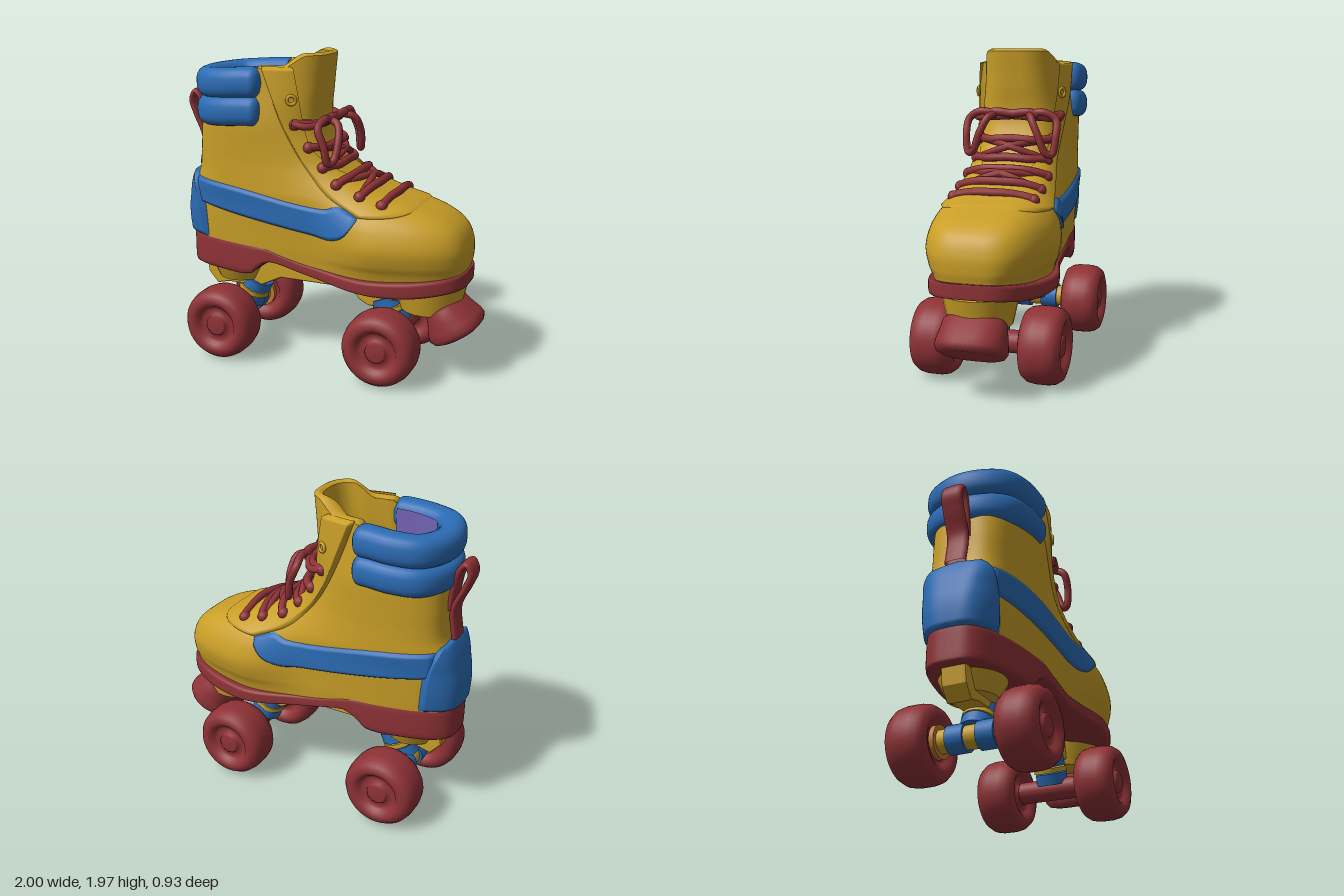
import * as THREE from 'three';
import { mergeVertices } from 'three/addons/utils/BufferGeometryUtils.js';

const mat = (name, color) => new THREE.MeshStandardMaterial({ name, color, side: THREE.DoubleSide });
const V = (x, y, z) => new THREE.Vector3(x, y, z);
const clamp = THREE.MathUtils.clamp, smooth = THREE.MathUtils.smoothstep;
const spow = (v, p) => Math.sign(v) * Math.pow(Math.abs(v), p);

// Smooth lookup of a value in a small table
function table(xs, ys) {
  const n = xs.length - 1;
  const slope = i => (ys[Math.min(i + 1, n)] - ys[Math.max(i - 1, 0)]) / (xs[Math.min(i + 1, n)] - xs[Math.max(i - 1, 0)]);
  return x => {
    x = clamp(x, xs[0], xs[n]);
    let i = 0;
    while (i < n - 1 && x > xs[i + 1]) i++;
    const d = xs[i + 1] - xs[i], t = (x - xs[i]) / d, t2 = t * t, t3 = t2 * t;
    return (2 * t3 - 3 * t2 + 1) * ys[i] + (t3 - 2 * t2 + t) * d * slope(i) + (3 * t2 - 2 * t3) * ys[i + 1] + (t3 - t2) * d * slope(i + 1);
  };
}

// Surface from a rule (u, v in 0..1) -> point
function grid(fn, nu, nv) {
  const pos = [], idx = [];
  for (let j = 0; j <= nv; j++) for (let i = 0; i <= nu; i++) pos.push(...fn(i / nu, j / nv).toArray());
  for (let j = 0; j < nv; j++) for (let i = 0; i < nu; i++) {
    const a = j * (nu + 1) + i, b = a + 1, c = a + nu + 1, d = c + 1;
    idx.push(a, c, b, b, c, d);
  }
  let g = new THREE.BufferGeometry();
  g.setAttribute('position', new THREE.Float32BufferAttribute(pos, 3));
  g.setIndex(idx);
  g = mergeVertices(g);
  g.computeVertexNormals();
  return g;
}

// Boot plan outline by height: toe, heel, widths, squareness
const Y = [.6, .7, .75, .85, .95, 1.02, 1.07, 1.11, 1.16, 1.22, 1.3, 1.4, 1.55, 1.75, 2];
const toeX = table(Y, [.88, .9, .91, .905, .86, .765, .63, .48, .33, .19, .08, .01, -.04, -.02, .01]);
const heelX = table(Y, [-.93, -.95, -.962, -.96, -.95, -.935, -.925, -.915, -.9, -.88, -.87, -.865, -.855, -.83, -.82]);
const heelW = table(Y, [.29, .3, .305, .31, .315, .315, .315, .315, .31, .305, .3, .3, .3, .275, .26]);
const ballW = table(Y, [.35, .38, .405, .425, .405, .375, .345, .325, .31, .305, .3, .3, .3, .275, .26]);
const square = table(Y, [.6, .6, .6, .58, .57, .55, .53, .52, .5, .5, .5, .52, .58, .64, .66]);

function boot(y, a, off = 0) {
  const F = toeX(y), B = heelX(y), c = Math.cos(a), s = Math.sin(a);
  const x = (F + B) / 2 + ((F - B) / 2 + off) * c;
  const t = smooth(x, -.05, .42);
  const w = heelW(y) * (1 - t) + ballW(y) * t + off;
  return V(x, y, w * spow(s, square(y)));
}
const angleAt = (x, y) => Math.acos(clamp((x - (toeX(y) + heelX(y)) / 2) / ((toeX(y) - heelX(y)) / 2), -1, 1));
const soleTop = table([-1, -.4, -.2, 0, .3, .6, .95], [.77, .76, .71, .67, .65, .66, .7]);
const soleBottom = table([-1, -.7, -.46, -.38, -.3, 0, .3, .6, .95], [.56, .555, .56, .63, .66, .6, .565, .56, .61]);

export function createModel() {
  const group = new THREE.Group();
  const yellow = mat('yellow leather', 0xc99e27), blue = mat('blue padding', 0x2b6cb5), red = mat('red rubber', 0x8e3236);
  const purple = mat('purple lining', 0x7264b4), orange = mat('orange insole', 0xbd7730), grey = mat('grey plate', 0x6c706c);
  const add = (name, geo, m, x = 0, y = 0, z = 0) => {
    const mesh = new THREE.Mesh(geo, m);
    mesh.name = name;
    mesh.position.set(x, y, z);
    group.add(mesh);
    return mesh;
  };
  const tube = (name, pts, r, m, closed = false) =>
    add(name, new THREE.TubeGeometry(new THREE.CatmullRomCurve3(pts.map(p => V(...p)), closed), pts.length * 8, r, 10, closed), m);
  const cyl = (name, r1, r2, h, m, x, y, z) => add(name, new THREE.CylinderGeometry(r1, r2, h, 28), m, x, y, z);

  // Boot shell with tall tongue, rim and inside; the wall is thick at the eyestays
  const TAU = Math.PI * 2;
  const topY = a => 1.75 + .13 * smooth(Math.cos(a), -.1, .1) + .078 * smooth(Math.cos(a), .45, .8);
  const baseY = a => soleTop(boot(.7, a).x) - .03;
  const wall = a => .05 + .035 * smooth(Math.cos(a), -.1, .2) * (1 - smooth(Math.cos(a), .6, .9));
  add('bootUpper', grid((u, v) => {
    const a = u * TAU, y0 = baseY(a);
    return boot(y0 + (topY(a) - y0) * v, a);
  }, 88, 100), yellow);
  add('bootRim', grid((u, v) => boot(topY(u * TAU) + .014 * Math.sin(v * Math.PI), u * TAU, -wall(u * TAU) * v), 88, 4), yellow);
  const inside = (a0, a1) => grid((u, v) => {
    const a = a0 + (a1 - a0) * u;
    return boot(1 + (topY(a) - 1) * v, a, -wall(a));
  }, 44, 60);
  add('tongueInside', inside(-1.6, 1.6), yellow);
  add('shaftLining', inside(1.6, TAU - 1.6), purple);
  add('insideFloor', grid((u, v) => {
    const p = boot(1, u * TAU, -.05);
    return V(-.1 + (p.x + .1) * v, 1, p.z * v);
  }, 48, 2), yellow);

  // Insole patches: [material, x, z, half length, half width]
  const patches = [[orange, -.56, 0, .24, .19], [orange, -.24, -.09, .12, .05], [yellow, -.42, .05, .18, .075], [red, -.5, -.07, .05, .05], [red, -.58, .13, .09, .022], [red, -.2, -.1, .05, .03], [purple, -.36, .145, .1, .02]];
  patches.forEach(([m, x, z, rx, rz], i) => {
    const patch = add('insolePatch', new THREE.CircleGeometry(1, 32), m, x, 1.005 + i * .002, z);
    patch.rotation.x = -Math.PI / 2;
    patch.scale.set(rx, rz, 1);
  });

  // Raised panels that follow the boot; their borders sink to the leather
  const panel = (name, rule, off, m, nu, nv, openStart = false) => {
    for (const side of [1, -1]) add(name, grid((u, v) => {
      const edge = (u === 0 && !openStart) || u === 1 || v === 0 || v === 1;
      const [y, a] = rule(u, v);
      return boot(y, side * a, edge ? -.004 : off(y));
    }, nu, nv), m);
  };
  const stripeTop = table([-.86, -.5, -.1, .08, .16, .3], [1.16, 1.13, 1.07, 1.06, 1.085, 1.03]);
  const stripeLow = table([-.86, -.4, 0, .12, .22, .3], [.99, .93, .88, .87, .91, 1.025]);
  panel('sideStripe', (u, v) => {
    const x = -.86 + 1.16 * u, y = stripeLow(x) + (stripeTop(x) - stripeLow(x)) * v;
    return [y, angleAt(x, y)];
  }, () => .018, blue, 48, 12);
  const counterEdge = table([.74, .85, 1, 1.1, 1.16, 1.22], [-.78, -.785, -.8, -.83, -.86, -.9]);
  panel('heelCounter', (u, v) => {
    const y = .755 + .465 * v, a = angleAt(counterEdge(y), y);
    return [y, Math.PI + (a - Math.PI) * u];
  }, table([.75, .9, 1.1, 1.22], [.018, .032, .034, .024]), blue, 24, 24, true);
  const stayBack = table([1.03, 1.12, 1.25, 1.4, 1.6, 1.9], [.3, .1, -.04, -.15, -.25, -.36]);
  const stayFront = table([1.03, 1.2, 1.35, 1.5, 1.9], [.9, .25, -.01, -.1, -.17]);
  panel('eyestay', (u, v) => {
    const y0 = 1.075 - .045 * smooth(u, 0, 1), y = y0 + (1.892 - y0) * v;
    const a0 = angleAt(stayFront(y), y), a1 = angleAt(stayBack(y), y);
    return [y, a0 + (a1 - a0) * u];
  }, table([1, 1.5, 1.7, 1.9], [.022, .024, .04, .04]), yellow, 24, 70, true);

  // Two padded collar rolls with a lining over their inner faces
  const collarHalf = [[-.355, .01, .256], [-.46, .01, .26], [-.6, 0, .258], [-.74, -.01, .205]];
  const collar = new THREE.CatmullRomCurve3([...collarHalf, [-.815, -.015, 0], ...collarHalf.map(([x, y, z]) => [x, y, -z]).reverse()].map(p => V(...p)));
  const collarPoint = (u, out, y) => {
    const p = collar.getPointAt(u), t = collar.getTangentAt(u);
    return V(p.x + t.z * out, p.y + y, p.z - t.x * out);
  };
  const collarLength = collar.getLength();
  for (const y of [1.605, 1.78]) add('collarRoll', grid((u, v) => {
    const d = Math.min(1, Math.min(u, 1 - u) * collarLength / .06);
    const f = Math.sqrt(1 - (1 - d) ** 2);
    return collarPoint(u, .085 * f * spow(Math.cos(v * TAU), .8), y + .094 * f * spow(Math.sin(v * TAU), .8));
  }, 100, 24), blue);
  add('collarLining', grid((u, v) => collarPoint(.04 + .92 * u, -.088, 1.5 + .33 * v), 60, 2), purple);

  // Heel pull strap
  const strap = new THREE.CatmullRomCurve3([[-.91, 1.2], [-.89, 1.38], [-.95, 1.53], [-.978, 1.62], [-.95, 1.675], [-.91, 1.63], [-.88, 1.5], [-.868, 1.38]].map(p => V(...p, 0)));
  add('pullStrap', grid((u, v) => {
    const p = strap.getPoint(u), t = strap.getTangent(u), c = Math.cos(v * TAU), s = Math.sin(v * TAU);
    return V(p.x - t.y * .02 * s, p.y + t.x * .02 * s, .07 * spow(c, .5));
  }, 48, 16), red);

  // Sole with a stepped heel; [width factor, height factor]
  const soleProfile = [[0, 0], [.5, 0], [.95, 0], [.985, .07], [1, .2], [1, .8], [.985, .93], [.95, 1], [0, 1]];
  add('sole', grid((u, v) => {
    const [k, h] = soleProfile[Math.round(v * 8)], p = boot(.75, u * TAU, .004);
    const x = p.x * (.97 + .03 * Math.min(1, k / .95) * k), lo = soleBottom(x);
    return V(x, lo + (soleTop(x) - lo) * h, p.z * k);
  }, 120, 8), red);
  add('archPlate', grid((u, v) => V(-.27 + .2 * u, soleBottom(-.27 + .2 * u) - .006, -.1 + .2 * v), 10, 2), grey);

  // Chassis plate
  const side = [[-.89, .6], [-.87, .46], [-.81, .39], [-.73, .41], [-.5, .41], [-.44, .44], [-.34, .49], [.16, .49], [.22, .42], [.28, .39], [.36, .4], [.44, .45], [.6, .45], [.8, .45], [.82, .6], [.3, .6], [0, .57], [-.34, .57], [-.44, .6]];
  const plateShape = new THREE.Shape(side.map(p => new THREE.Vector2(...p)));
  const plate = new THREE.ExtrudeGeometry(plateShape, { depth: .12, bevelSize: .012, bevelThickness: .02, bevelSegments: 2 });
  add('chassisPlate', plate, yellow, 0, 0, -.06);
  cyl('toeHousing', .23, .19, .18, yellow, .665, .5, 0);
  cyl('heelHousing', .21, .15, .13, yellow, -.66, .51, 0);

  // Trucks, axles and wheels
  const halfWheel = [[.235, .04], [.226, .085], [.203, .117], [.165, .13], [.135, .115], [.122, .095], [.105, .085], [.07, .085], [.067, .105], [.055, .114], [0, .114]];
  const wheelProfile = [...halfWheel.map(([r, h]) => [r, -h]).reverse(), ...halfWheel].map(p => new THREE.Vector2(...p));
  const wheelGeo = new THREE.LatheGeometry(wheelProfile, 40);
  for (const [x, lean] of [[-.63, 1], [.46, -1]]) {
    const truck = [['cushion', .1, .07, blue, .405], ['washer', .105, .03, yellow, .355], ['cushion', .1, .07, blue, .305]];
    for (const [name, r, h, m, y] of truck) cyl(name, r, r, h, m, x + lean * (y - .24) * .5, y, 0).rotation.z = -lean * .4;
    cyl('axleTube', .07, .07, .44, lean > 0 ? yellow : red, x, .24, 0).rotation.x = Math.PI / 2;
    for (const s of [1, -1]) {
      add('wheel', wheelGeo, red, x, .236, s * .335).rotation.x = Math.PI / 2;
      if (lean < 0) continue;
      cyl('axleSleeve', .085, .085, .11, blue, x, .24, s * .095).rotation.x = Math.PI / 2;
      cyl('axleWasher', .1, .1, .03, orange, x, .24, s * .222).rotation.x = Math.PI / 2;
    }
  }

  // Toe stop: [height, half length, half width]
  const stop = [[0, 0, 0], [0, .13, .17], [.012, .16, .2], [.04, .178, .215], [.08, .17, .21], [.14, .14, .2], [.2, .118, .19], [.22, .1, .17], [.22, 0, 0]];
  add('toeStop', grid((u, v) => {
    const [h, rx, rz] = stop[Math.round(v * 8)];
    return V(rx * Math.cos(u * TAU), h, rz * spow(Math.sin(u * TAU), .7));
  }, 40, 8), red, .865, .265, 0).rotation.z = .535;

  // Laces: [end x, end y, middle x, middle y] for each rung
  const rungs = [[-.14, 1.55, .0, 1.56], [-.06, 1.41, .04, 1.42], [.03, 1.29, .11, 1.31], [.13, 1.2, .2, 1.25], [.28, 1.14, .33, 1.19], [.42, 1.1, .45, 1.14]];
  const ends = rungs.map(([x, y]) => Math.max(.19, boot(y, angleAt(x, y), .03).z));
  rungs.forEach(([x, y, mx, my], i) => {
    const z = ends[i];
    tube('laceRung', [[x - .03, y - .03, z - .015], [x, y, z + .005], [mx - .015, my - .01, z * .6], [mx, my, 0], [mx - .015, my - .01, -z * .6], [x, y, -z - .005], [x - .03, y - .03, -z + .015]], .026, red);
    for (const s of [1, -1]) {
      add('laceKnob', new THREE.SphereGeometry(.036, 12, 10), red, x, y, s * z);
      if (i !== 1 && i !== 3) continue;
      const [x2, y2, mx2, my2] = rungs[i + 1];
      tube('laceCross', [[x, y, s * z], [(mx + mx2) / 2 + .01, (my + my2) / 2 + .01, 0], [x2, y2, -s * ends[i + 1]]], .022, red);
    }
  });

  // Bow and eyelets
  tube('bowBar', [[.02, 1.57, .17], [.035, 1.585, .1], [.03, 1.575, 0], [.035, 1.585, -.1], [.02, 1.57, -.17]], .026, red);
  for (const s of [1, -1]) {
    tube('bowLoop', [[.03, 1.57, s * .12], [.03, 1.585, s * .2], [.02, 1.54, s * .28], [.06, 1.44, s * .29], [.08, 1.33, s * .27], [.1, 1.34, s * .235], [.115, 1.46, s * .185], [.09, 1.55, s * .14]], .024, red, true);
    tube('laceTail', [[.03, 1.57, s * .1], [-.06, 1.54, s * .25], [-.15, 1.56, s * .28]], .022, red);
    const p = boot(1.7, angleAt(-.18, 1.7), .042);
    const eyelet = add('eyelet', new THREE.TorusGeometry(.026, .01, 8, 20), yellow, p.x, p.y, s * p.z);
    eyelet.rotation.y = s * .5;
  }
  return group;
}
